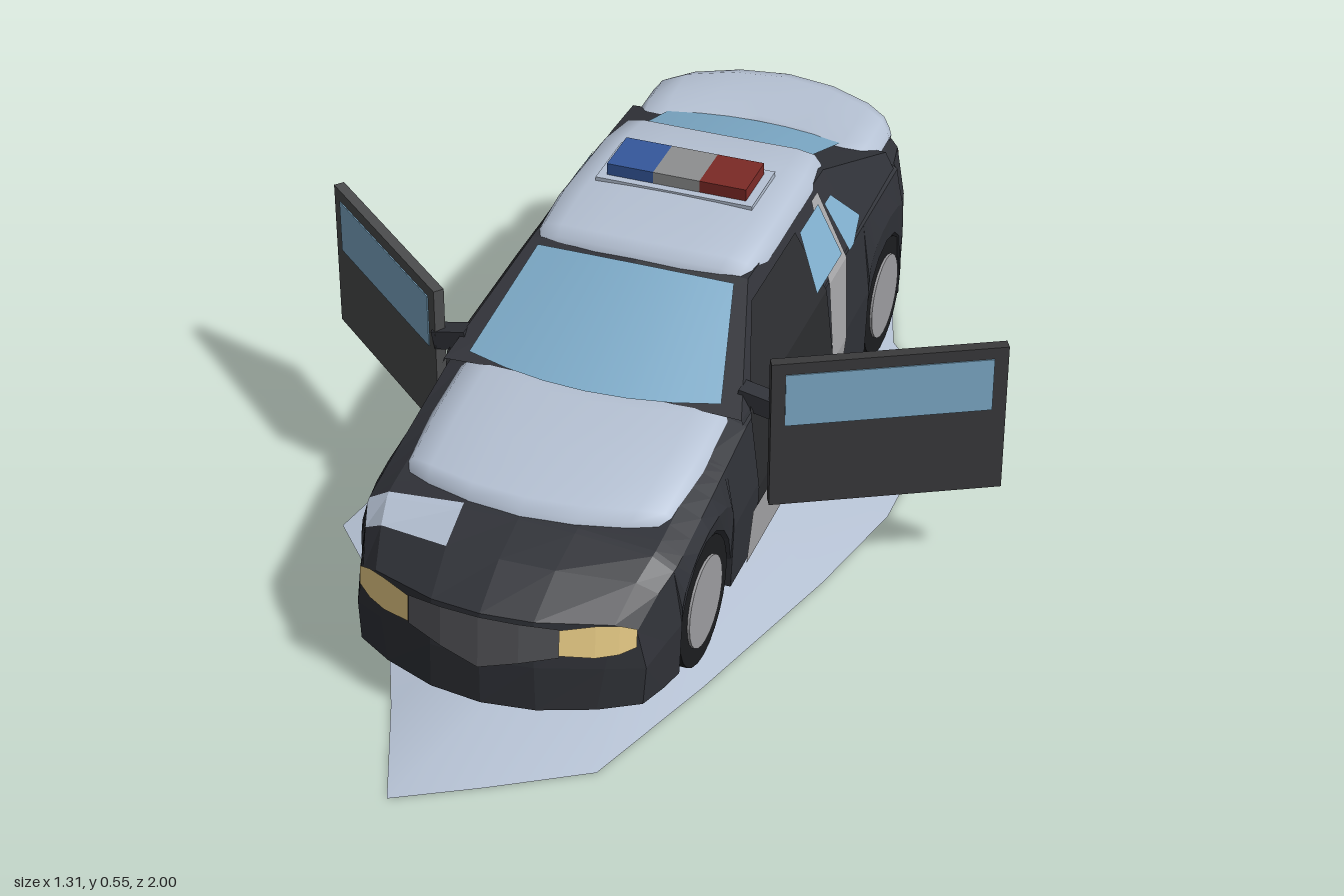
import * as THREE from 'three';

const DARK = 0x303238, LIGHT = 0xb6c2d4, GLASS = 0x7fadcb, BLACK = 0x1c1d1f, GREY = 0x55565a, PALE = 0xa4a4a6;
const lerp = THREE.MathUtils.lerp, clamp = THREE.MathUtils.clamp;

// Piecewise-linear lookup in rows of [key, value, value...] with descending keys
function lookup(table, k) {
  let i = 0;
  while (i < table.length - 2 && k < table[i + 1][0]) i++;
  const a = table[i], b = table[i + 1];
  const t = clamp((k - a[0]) / (b[0] - a[0]), 0, 1);
  return a.slice(1).map((v, n) => lerp(v, b[n + 1], t));
}

function mesh(geo, color, name, flat = true) {
  const mat = new THREE.MeshStandardMaterial({ color, flatShading: flat, side: THREE.DoubleSide });
  const m = new THREE.Mesh(geo, mat);
  m.name = name;
  return m;
}

// Skin a grid of points; keep(i, j) chooses the cells
function grid(rows, keep = () => true) {
  const n = rows[0].length, index = [];
  for (let i = 0; i < rows.length - 1; i++)
    for (let j = 0; j < n - 1; j++) {
      if (!keep(i, j)) continue;
      const a = i * n + j, d = a + n;
      index.push(a, d, a + 1, a + 1, d, d + 1);
    }
  const g = new THREE.BufferGeometry();
  g.setAttribute('position', new THREE.Float32BufferAttribute(rows.flat(2), 3));
  g.setIndex(index);
  g.computeVertexNormals();
  return g;
}

// Both ends of the body are rounded in plan and lean inwards towards the top
function P(x, y, z) {
  const weight = clamp((Math.abs(z) - 0.62) / 0.16, 0, 1);
  const lean = (z > 0 ? 0.1 : 0.15) * Math.max(0, y - 0.14);
  return [x, y, z - Math.sign(z) * weight * (0.115 * (x / 0.29) ** 2 + lean)];
}
const mirrorRow = half => [...half, ...half.slice(0, -1).reverse().map(([x, y, z]) => [-x, y, z])];

// z, half width, shoulder height, centre height, bottom height
const BODY = [
  [0.79, 0.262, 0.215, 0.245, 0.065], [0.7, 0.28, 0.26, 0.295, 0.065], [0.59, 0.295, 0.285, 0.322, 0.07],
  [0.25, 0.295, 0.34, 0.36, 0.07], [-0.2, 0.295, 0.36, 0.38, 0.07], [-0.675, 0.295, 0.365, 0.395, 0.08],
  [-0.78, 0.28, 0.36, 0.4, 0.11], [-0.85, 0.262, 0.345, 0.385, 0.135]];
const AXLES = [0.48, -0.54], ARCH = 0.126;

function bodyHalf(z) {
  let [w, ys, yc, y0] = lookup(BODY, z), yb = y0;
  for (const a of AXLES) if (Math.abs(z - a) < ARCH + 1e-4) yb = 0.13 + Math.sqrt(Math.max(0, ARCH ** 2 - (z - a) ** 2));
  return [P(0, y0, z), P(0.19, y0, z), P(0.19, yb, z), P(w - 0.005, yb, z), P(w, lerp(yb, ys, 0.5), z),
    P(w - 0.015, ys, z), P(w * 0.82, lerp(ys, yc, 0.6), z), P(w * 0.35, lerp(ys, yc, 0.92), z), P(0, yc, z)];
}

function endCap(z) {
  const h = bodyHalf(z);
  const bottom = [h[3], h[1], P(0.095, h[0][1], z), h[0]], top = h.slice(5);
  const mid = bottom.map((b, i) => i ? P((b[0] + top[i][0]) / 2, (b[1] + top[i][1]) / 2, z) : h[4]);
  return grid([bottom, mid, top].map(mirrorRow));
}

// Rounded panel with turned-down edges from [z, half width, height]
function pad(stations, curve) {
  const ts = [1, 0.98, 0.92, 0.75, 0.4, 0, -0.4, -0.75, -0.92, -0.98, -1];
  return grid(stations.map(([z, w, y]) => ts.map(t => [w * t, y - 0.008 * t * t - 0.035 * t ** 20, z - curve * t * t])));
}

// Curved pane between two [z, half width, height] edges
function pane(a, b, curve) {
  const ts = [1, 0.66, 0.33, 0, -0.33, -0.66, -1];
  return grid([a, b].map(([z, w, y], i) => ts.map(t => [w * t, y + (i ? 0.01 * (1 - t * t) : 0), z + (i ? 0.3 : 1) * curve * (1 - t * t)])));
}

// Panel following the flank from rows of [height, back z, front z]
const FLANK = [[0.5, 0.2], [0.36, 0.28], [0.21, 0.297], [0.07, 0.291]];
const flankX = y => lookup(FLANK, y)[0];
const flank = (rows, side, lift) => grid(rows.map(([y, z0, z1]) => [z0, z1].map(z => [side * (flankX(y) + lift), y, z])));

// Panel following a bumper from columns of [x, bottom, top]
const upright = (cols, z, side = 1) => grid(cols.map(([x, y0, y1]) => [P(side * x, y0, z), P(side * x, y1, z)]));

function box(w, h, d, x, y, z, color, name) {
  const m = mesh(new THREE.BoxGeometry(w, h, d), color, name);
  m.position.set(x, y, z);
  return m;
}

function makeDoor(x0, z0, x1, z1, color, name) {
  const door = new THREE.Group(), len = Math.hypot(x1 - x0, z1 - z0);
  door.name = name;
  door.add(box(len, 0.295, 0.02, 0, 0.3225, 0, color, 'doorPanel'));
  door.add(box(len - 0.05, 0.105, 0.024, 0, 0.395, 0, GLASS, 'doorWindow'));
  door.position.set((x0 + x1) / 2, 0, (z0 + z1) / 2);
  door.rotation.y = -Math.atan2(z1 - z0, x1 - x0);
  return door;
}

function makeGround() {
  const rim = [[0.05, -1], [0.18, -0.86], [0.27, -0.58], [0.43, -0.4], [0.43, -0.03], [0.38, 0.2], [0.28, 0.55],
    [0.19, 0.82], [0.03, 0.92], [-0.11, 1], [-0.2, 0.78], [-0.31, 0.54], [-0.49, 0.34], [-0.43, -0.02],
    [-0.48, -0.4], [-0.38, -0.63], [-0.26, -0.92]];
  rim.push(rim[0]);
  const rings = [[1, 0], [0.6, 0.044], [0.35, 0.058], [0, 0.063]];
  return mesh(grid(rings.map(([s, y]) => rim.map(([x, z]) => [x * s, y, z * s]))), LIGHT, 'groundSheet', false);
}

export function createModel() {
  const model = new THREE.Group(), car = new THREE.Group();
  car.name = 'car';
  car.position.x = -0.03;
  const add = (geo, color, name, flat) => car.add(mesh(geo, color, name, flat));

  // Body shell with open wheel arches
  const zs = [0.79, 0.7, 0.25, 0, -0.2, -0.72, -0.78, -0.85];
  for (const a of AXLES)
    for (const d of [ARCH + 0.001, ARCH, 0.115, 0.09, 0.05]) zs.push(a + d, a - d);
  zs.push(...AXLES);
  zs.sort((a, b) => b - a);
  const rows = zs.map(z => mirrorRow(bodyHalf(z)));
  const pale = (i, j) => zs[i] <= 0.7 && zs[i + 1] >= 0.59 && (j === 9 || j === 10);
  add(grid(rows, (i, j) => !pale(i, j)), DARK, 'body');
  add(grid(rows, pale), LIGHT, 'nosePanel');
  add(endCap(0.79), DARK, 'frontBumper');
  add(endCap(-0.85), DARK, 'rearBumper');

  // Cabin
  const cabin = [[0.27, 0.365], [0.03, 0.493], [-0.38, 0.486], [-0.62, 0.4]];
  add(grid(cabin.map(([z, h]) => mirrorRow([[0.28, 0.355, z], [flankX(h), h, z], [0, h + 0.01, z]]))), DARK, 'cabin');
  add(pane([0.255, 0.235, 0.38], [0.05, 0.185, 0.492], 0.045), GLASS, 'windscreen', false);
  add(pane([-0.59, 0.175, 0.42], [-0.4, 0.165, 0.491], -0.025), GLASS, 'rearWindow', false);

  // Rounded bonnet, roof and boot lid
  add(pad([[0.605, 0.235, 0.305], [0.597, 0.245, 0.33], [0.575, 0.25, 0.342], [0.45, 0.257, 0.36], [0.32, 0.257, 0.376], [0.275, 0.252, 0.37]], 0.065), LIGHT, 'bonnet', false);
  add(pad([[0.045, 0.2, 0.485], [0.04, 0.205, 0.508], [0.015, 0.209, 0.519], [-0.1, 0.214, 0.526], [-0.3, 0.211, 0.523], [-0.39, 0.2, 0.514], [-0.412, 0.19, 0.5], [-0.415, 0.185, 0.48]], 0.015), LIGHT, 'roof', false);
  add(pad([[-0.6, 0.215, 0.385], [-0.608, 0.225, 0.412], [-0.63, 0.235, 0.424], [-0.7, 0.244, 0.432], [-0.77, 0.244, 0.434], [-0.805, 0.238, 0.422], [-0.815, 0.232, 0.4], [-0.815, 0.23, 0.375]], -0.085), LIGHT, 'bootLid', false);

  for (const s of [1, -1]) {
    // Flank panels, open doorway and rear side windows
    add(flank([[0.07, -0.24, 0.28], [0.17, -0.25, 0.26]], s, 0.003), PALE, 'paleSill');
    add(flank([[0.17, -0.25, -0.18], [0.21, -0.26, -0.18], [0.36, -0.3, -0.2], [0.475, -0.32, -0.285]], s, 0.003), PALE, 'palePillar');
    add(flank([[0.17, -0.18, 0.24], [0.21, -0.18, 0.24], [0.36, -0.18, 0.24], [0.4, -0.18, 0.18], [0.47, -0.18, 0.06]], s, 0.004), 0x2a2b2e, 'doorway');
    add(flank([[0.375, -0.285, -0.14], [0.465, -0.295, -0.19]], s, 0.007), GLASS, 'sideWindow');
    add(flank([[0.365, -0.34, -0.315], [0.385, -0.41, -0.315], [0.455, -0.35, -0.315]], s, 0.007), GLASS, 'quarterWindow');

    // Wheels
    for (const a of AXLES) {
      for (const [r, w, x, color, name] of [[0.118, 0.065, 0.253, BLACK, 'tyre'], [0.083, 0.01, 0.285, 0x9d9da0, 'hub']]) {
        const m = mesh(new THREE.CylinderGeometry(r, r, w, 24).rotateZ(Math.PI / 2), color, name);
        m.position.set(s * x, 0.13, a);
        car.add(m);
      }
    }

    // Headlights, tail lights and mirrors
    add(upright([[0.135, 0.185, 0.235], [0.19, 0.178, 0.24], [0.225, 0.18, 0.236], [0.25, 0.19, 0.225]], 0.799, s), 0xf2d48c, 'headlight');
    for (const cols of [[[0.19, 0.32, 0.335], [0.245, 0.32, 0.335]], [[0.19, 0.265, 0.28], [0.245, 0.265, 0.28]], [[0.232, 0.28, 0.32], [0.245, 0.28, 0.32]]])
      add(upright(cols, -0.859, s), 0x8a2b26, 'tailLight');
    const mirror = box(0.065, 0.036, 0.035, s * 0.285, 0.373, 0.21, DARK, 'mirror');
    mirror.rotation.z = -s * 0.2;
    car.add(mirror);
  }

  // Grille and rear plate
  add(upright([[-0.135, 0.18, 0.235], [-0.07, 0.165, 0.241], [0, 0.145, 0.243], [0.07, 0.165, 0.241], [0.135, 0.18, 0.235]], 0.797), GREY, 'grille');
  add(upright([[-0.095, 0.17, 0.225], [0, 0.17, 0.225], [0.095, 0.17, 0.225]], -0.857), 0x77787c, 'rearPlate');

  // Roof light bar
  car.add(box(0.3, 0.012, 0.13, 0, 0.523, -0.21, LIGHT, 'lightBarBase'));
  [0x35589c, 0x8e8f90, 0x7c2a26].forEach((c, i) =>
    car.add(box(0.089, 0.028, 0.1, (i - 1) * 0.089, 0.538, -0.21, c, 'lightBarSegment')));

  model.add(car, makeGround());
  model.add(makeDoor(0.285, 0.23, 0.65, 0.035, 0x3a3a3c, 'leftDoor'));
  model.add(makeDoor(-0.335, 0.22, -0.65, -0.05, 0x4c4d4e, 'rightDoor'));
  return model;
}
